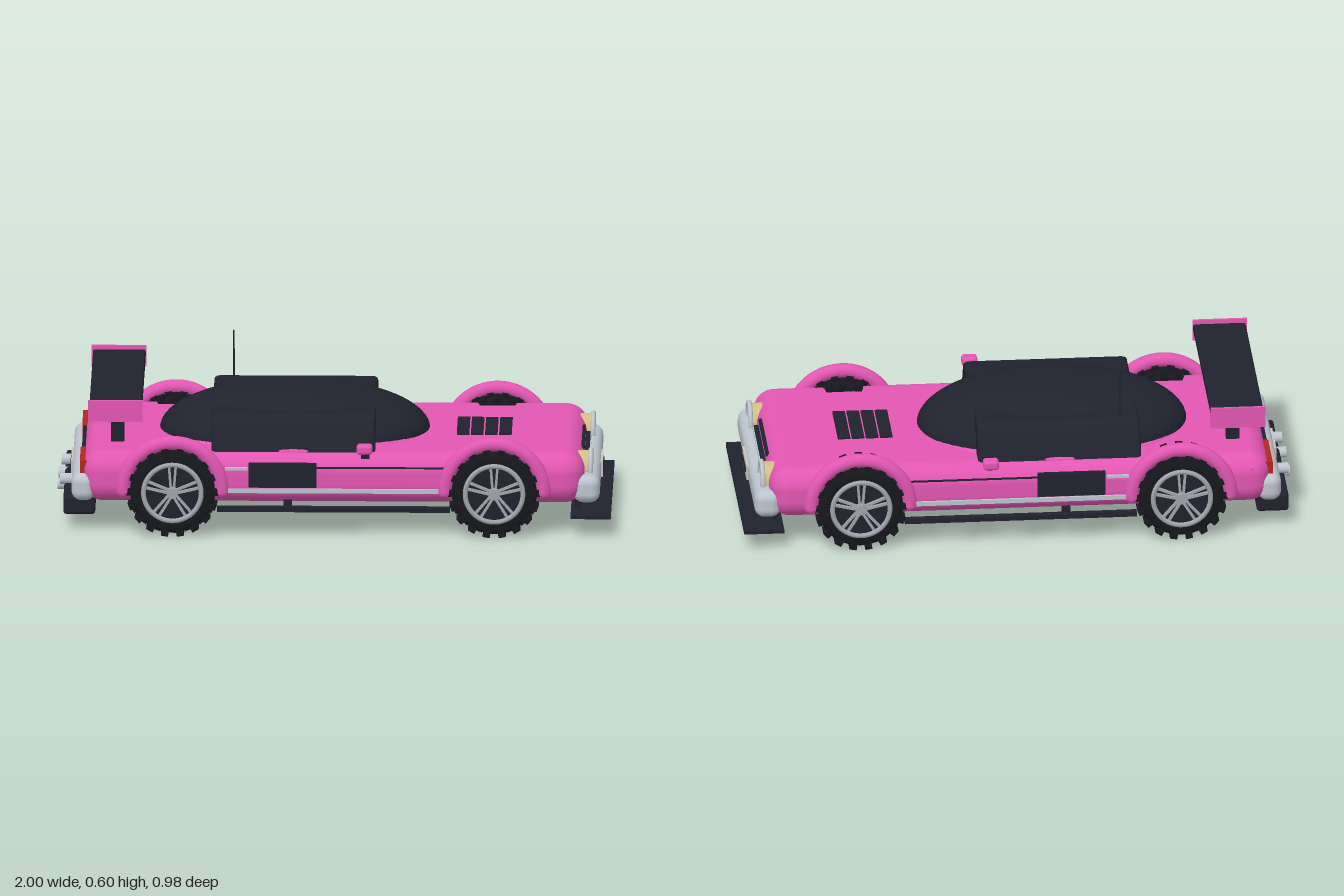
import * as THREE from 'three';
import { RoundedBoxGeometry } from 'three/addons/geometries/RoundedBoxGeometry.js';

const mat = (name, color, side = THREE.FrontSide) => {
  const m = new THREE.MeshStandardMaterial({ color, side });
  m.name = name;
  return m;
};

export function createModel() {
  const car = new THREE.Group();
  car.name = 'sportsCar';
  const pink = mat('pinkPaint', 0xe257b2);
  const dark = mat('darkTrim', 0x20222d);
  const rubber = mat('tyreRubber', 0x17181d);
  const chrome = mat('chrome', 0xbcc4cd);
  const alloy = mat('alloy', 0xa0a5ab);
  const cream = mat('headlightGlass', 0xd2bd85);
  const plateMat = mat('plateGrey', 0xc9c4ba);
  const red = mat('tailRed', 0xb3261e);

  const add = (name, geo, m, x = 0, y = 0, z = 0, parent = car) => {
    const mesh = new THREE.Mesh(geo, m);
    mesh.name = name;
    mesh.position.set(x, y, z);
    parent.add(mesh);
    return mesh;
  };
  // Box given by its limits, optionally rounded
  const block = (name, m, [x0, x1], [y0, y1], [z0, z1], r = 0, parent = car) => {
    const s = [x1 - x0, y1 - y0, z1 - z0];
    const geo = r ? new RoundedBoxGeometry(...s, 5, r) : new THREE.BoxGeometry(...s);
    return add(name, geo, m, (x0 + x1) / 2, (y0 + y1) / 2, (z0 + z1) / 2, parent);
  };
  // Same box on both sides of the car
  const pair = (name, m, xs, ys, [z0, z1], r = 0) => {
    block(name + 'Left', m, xs, ys, [z0, z1], r);
    block(name + 'Right', m, xs, ys, [-z1, -z0], r);
  };

  // Main shell
  block('body', pink, [-0.905, 0.905], [0.115, 0.305], [-0.41, 0.41], 0.075);

  // Canopy dome and its painted lip
  const dome = new THREE.SphereGeometry(1, 64, 20, 0, Math.PI * 2, 0, Math.PI / 2);
  add('canopy', dome, dark, -0.145, 0.3, 0).scale.set(0.487, 0.166, 0.345);
  add('canopyLip', dome, pink, -0.145, 0.3, 0).scale.set(0.483, 0.06, 0.362);

  // Slanted side window housings
  for (const s of [1, -1]) {
    const shape = new THREE.Shape(
      [[0.16, 0.3], [0.35, 0.3], [0.318, 0.365], [0.296, 0.398], [0.27, 0.41], [0.16, 0.41]]
        .map(([z, y]) => new THREE.Vector2(-s * z, y)));
    const geo = new THREE.ExtrudeGeometry(shape, {
      depth: 0.55, bevelEnabled: true, bevelSize: 0.012, bevelThickness: 0.02, bevelSegments: 3,
    });
    geo.rotateY(Math.PI / 2);
    add('sideWindow', geo, dark, -0.42, 0, 0);
  }

  // Wheels
  const tread = new THREE.BoxGeometry(0.026, 0.024, 0.062);
  const buildWheel = (x, s) => {
    const wheel = new THREE.Group();
    wheel.name = 'wheel';
    const tyre = [[0.06, -0.06], [0.14, -0.06], [0.153, -0.048], [0.156, 0], [0.153, 0.048],
      [0.14, 0.06], [0.1, 0.062], [0.095, 0.05], [0.001, 0.05]]
      .map(([r, h]) => new THREE.Vector2(r, h));
    add('tyre', new THREE.LatheGeometry(tyre, 48).rotateX(Math.PI / 2), rubber, 0, 0, 0, wheel);
    add('innerHub', new THREE.CylinderGeometry(0.1, 0.1, 0.1, 32).rotateX(Math.PI / 2),
      alloy, 0, 0, -0.012, wheel);
    add('rimBacking', new THREE.CircleGeometry(0.105, 40), dark, 0, 0, 0.064, wheel);
    // Staggered tread blocks
    for (let i = 0; i < 36; i++) {
      const a = (i / 36) * Math.PI * 2;
      const b = add('treadBlock', tread, rubber, Math.sin(a) * 0.155, Math.cos(a) * 0.155,
        i % 2 ? 0.03 : -0.03, wheel);
      b.rotation.z = -a;
    }
    // Rim ring, hub cap and five split spokes
    add('rimRing', new THREE.TorusGeometry(0.104, 0.009, 10, 48), alloy, 0, 0, 0.074, wheel);
    add('hubCap', new THREE.CylinderGeometry(0.02, 0.022, 0.02, 20).rotateX(Math.PI / 2),
      alloy, 0, 0, 0.073, wheel);
    for (let i = 0; i < 5; i++) {
      const spoke = new THREE.Group();
      spoke.name = 'spoke';
      spoke.rotation.z = (i / 5) * Math.PI * 2;
      for (const k of [-1, 1]) {
        const bar = add('spokeBar', new THREE.BoxGeometry(0.009, 0.088, 0.012), alloy,
          k * 0.009, 0.058, 0.07, spoke);
        bar.rotation.z = -k * 0.08;
      }
      wheel.add(spoke);
    }
    wheel.position.set(x, 0.167, s * 0.364);
    if (s < 0) wheel.rotation.y = Math.PI;
    car.add(wheel);
  };

  // Wheels and their arches
  for (const x of [-0.58, 0.58]) {
    for (const s of [1, -1]) {
      buildWheel(x, s);
      add('wheelArch', new THREE.TorusGeometry(0.178, 0.026, 16, 48, Math.PI), pink,
        x, 0.167, s * 0.405);
      for (const k of [-1, 1]) {
        add('archEnd', new THREE.SphereGeometry(0.026, 16, 10), pink, x + k * 0.178, 0.167, s * 0.405);
      }
    }
  }

  // Bumpers, splitter and rear diffuser
  block('frontBumper', chrome, [0.865, 0.96], [0.12, 0.222], [-0.395, 0.395], 0.035);
  block('rearBumper', chrome, [-0.945, -0.86], [0.12, 0.222], [-0.395, 0.395], 0.035);
  block('frontSplitter', dark, [0.855, 1], [0.066, 0.08], [-0.4, 0.4]);
  pair('splitterStrut', dark, [0.87, 0.89], [0.075, 0.14], [0.28, 0.295]);
  block('rearDiffuser', dark, [-0.975, -0.86], [0.058, 0.128], [-0.335, 0.335], 0.012);

  // Licence plates
  block('frontPlate', plateMat, [0.958, 0.966], [0.144, 0.2], [-0.09, 0.09]);
  block('frontPlateBar', dark, [0.964, 0.969], [0.162, 0.18], [-0.06, 0.06]);
  block('rearPlate', plateMat, [-0.951, -0.943], [0.146, 0.2], [-0.09, 0.09]);
  block('rearPlateBar', dark, [-0.954, -0.949], [0.164, 0.18], [-0.06, 0.06]);

  // Headlights
  for (const s of [1, -1]) {
    add('headlight', new THREE.CylinderGeometry(0.062, 0.062, 0.06, 36).rotateZ(Math.PI / 2),
      cream, 0.898, 0.225, s * 0.264);
    add('headlightRing', new THREE.TorusGeometry(0.064, 0.009, 10, 40).rotateY(Math.PI / 2),
      chrome, 0.926, 0.225, s * 0.264);
  }

  // Grille bars and nose slot
  block('grilleUpper', dark, [0.87, 0.902], [0.264, 0.275], [-0.157, 0.157]);
  block('grilleLower', dark, [0.88, 0.918], [0.236, 0.25], [-0.157, 0.157]);
  block('grilleTrim', chrome, [0.88, 0.922], [0.226, 0.236], [-0.172, 0.172]);

  // Bonnet louvres
  for (let i = 0; i < 4; i++) {
    const x = 0.44 + i * 0.051;
    block('bonnetLouvre', dark, [x, x + 0.045], [0.3, 0.311], [-0.12, 0.12]);
  }

  // Tail lights and centre panel
  pair('tailLight', red, [-0.915, -0.88], [0.222, 0.266], [0.16, 0.365]);
  block('tailPanel', dark, [-0.911, -0.88], [0.226, 0.262], [-0.16, 0.16]);

  // Twin exhausts on each side
  for (const s of [1, -1]) {
    for (const [z, y, end] of [[0.082, 0.108, -1], [0.138, 0.142, -0.99]]) {
      const pipe = [[0.014, 0], [0.014, 0.09], [0.02, 0.09], [0.02, 0], [0.014, 0]]
        .map(([r, h]) => new THREE.Vector2(r, -h));
      const g = new THREE.LatheGeometry(pipe, 20).rotateZ(-Math.PI / 2);
      g.rotateY(Math.PI);
      const m = add('exhaust', g, chrome, end, y, s * z);
      m.geometry.computeBoundingBox();
      m.position.x = end - m.geometry.boundingBox.min.x;
      add('exhaustCore', new THREE.CylinderGeometry(0.016, 0.016, 0.08, 16).rotateZ(Math.PI / 2),
        dark, end + 0.05, y, s * z);
    }
  }

  // Rear wing
  block('wingBlade', dark, [-0.88, -0.69], [0.455, 0.486], [-0.395, 0.395], 0.008);
  pair('wingEndPlate', pink, [-0.885, -0.688], [0.422, 0.5], [0.391, 0.402]);
  pair('wingStrut', dark, [-0.805, -0.757], [0.295, 0.46], [0.214, 0.234]);

  // Door mirrors
  pair('mirrorHousing', pink, [0.085, 0.142], [0.323, 0.359], [0.443, 0.49], 0.012);
  pair('mirrorStem', dark, [0.105, 0.125], [0.311, 0.327], [0.37, 0.455]);
  pair('mirrorFoot', dark, [0.1, 0.13], [0.285, 0.32], [0.37, 0.39]);

  // Side panels, trim and skirts
  pair('sideVent', dark, [-0.305, -0.06], [0.182, 0.272], [0.4, 0.415]);
  pair('sideMoulding', chrome, [-0.41, 0.41], [0.162, 0.178], [0.4, 0.417]);
  pair('upperLine', dark, [-0.06, 0.4], [0.252, 0.258], [0.39, 0.409]);
  pair('doorHandle', chrome, [-0.39, -0.31], [0.246, 0.256], [0.4, 0.416]);
  pair('frontMarker', dark, [0.77, 0.84], [0.25, 0.258], [0.385, 0.404]);
  pair('rearMarker', dark, [-0.84, -0.77], [0.25, 0.258], [0.385, 0.404]);
  pair('sideSkirt', dark, [-0.42, 0.42], [0.09, 0.108], [0.385, 0.41]);
  pair('skirtBracket', dark, [-0.18, -0.15], [0.1, 0.13], [0.36, 0.39]);

  // Aerial
  add('aerial', new THREE.CylinderGeometry(0.003, 0.004, 0.3, 10), dark, -0.37, 0.445, -0.256);

  return car;
}
